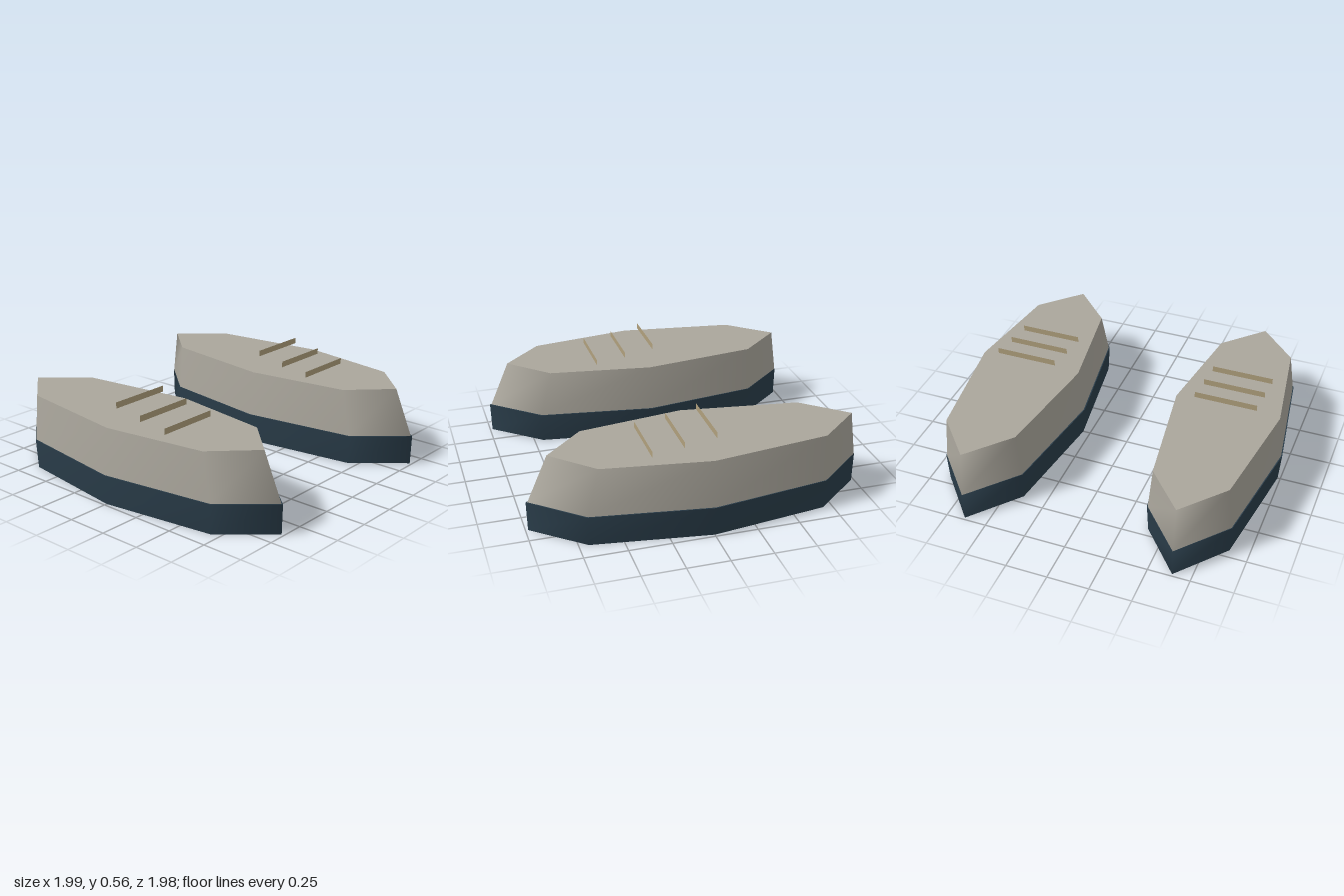
import * as THREE from 'three';

const upperMat = new THREE.MeshStandardMaterial({ name: 'warm grey upper', color: 0xaaa69c });
const soleMat = new THREE.MeshStandardMaterial({ name: 'dark blue sole', color: 0x2a3d4a });
const laceMat = new THREE.MeshStandardMaterial({ name: 'tan lace', color: 0xb0a07c, side: THREE.DoubleSide });

// Eight-point pointed outline, counter-clockwise from above, starting at the toe
function ring(y, toe, frontX, frontZ, midX, backX, backZ, heel) {
  return [
    [0, y, toe], [frontX, y, frontZ], [midX, y, 0], [backX, y, backZ],
    [0, y, heel], [-backX, y, backZ], [-midX, y, 0], [-frontX, y, frontZ],
  ];
}

// Closed solid between two outlines: smooth wall, flat top and bottom
function loft(bottom, top) {
  const n = bottom.length;
  const positions = [...bottom, ...top, ...bottom, ...top].flat();
  const index = [];
  for (let i = 0; i < n; i++) {
    const j = (i + 1) % n;
    index.push(i, j, n + j, i, n + j, n + i);
  }
  for (let i = 1; i < n - 1; i++) {
    index.push(2 * n, 2 * n + i + 1, 2 * n + i); // bottom
    index.push(3 * n, 3 * n + i, 3 * n + i + 1); // top
  }
  const geometry = new THREE.BufferGeometry();
  geometry.setAttribute('position', new THREE.Float32BufferAttribute(positions, 3));
  geometry.setIndex(index);
  geometry.computeVertexNormals();
  return geometry;
}

function addMesh(group, name, geometry, material) {
  const mesh = new THREE.Mesh(geometry, material);
  mesh.name = name;
  group.add(mesh);
  return mesh;
}

function createShoe(name) {
  const shoe = new THREE.Group();
  shoe.name = name;

  // Sole, slightly wider at its upper edge
  addMesh(shoe, 'sole', loft(
    ring(0, 0.985, 0.245, 0.695, 0.343, 0.245, -0.695, -0.985),
    ring(0.18, 0.99, 0.253, 0.7, 0.357, 0.253, -0.7, -0.99),
  ), soleMat);

  // Upper with sloping toe and gently tapering sides
  addMesh(shoe, 'upper', loft(
    ring(0.18, 0.98, 0.248, 0.695, 0.35, 0.248, -0.7, -0.988),
    ring(0.455, 0.86, 0.228, 0.625, 0.32, 0.222, -0.7, -0.953),
  ), upperMat);

  // Three upright lace strips, rising towards the ankle
  [[0.473, 0.315], [0.502, 0.13], [0.537, -0.055]].forEach(([y, z], i) => {
    const lace = addMesh(shoe, `lace${i + 1}`, new THREE.PlaneGeometry(0.38, 0.037), laceMat);
    lace.position.set(0, y, z);
  });
  return shoe;
}

export function createModel() {
  const model = new THREE.Group();
  model.name = 'pairOfShoes';
  for (const side of [1, -1]) {
    const shoe = createShoe(side > 0 ? 'leftShoe' : 'rightShoe');
    shoe.position.x = side * 0.64;
    model.add(shoe);
  }
  return model;
}
